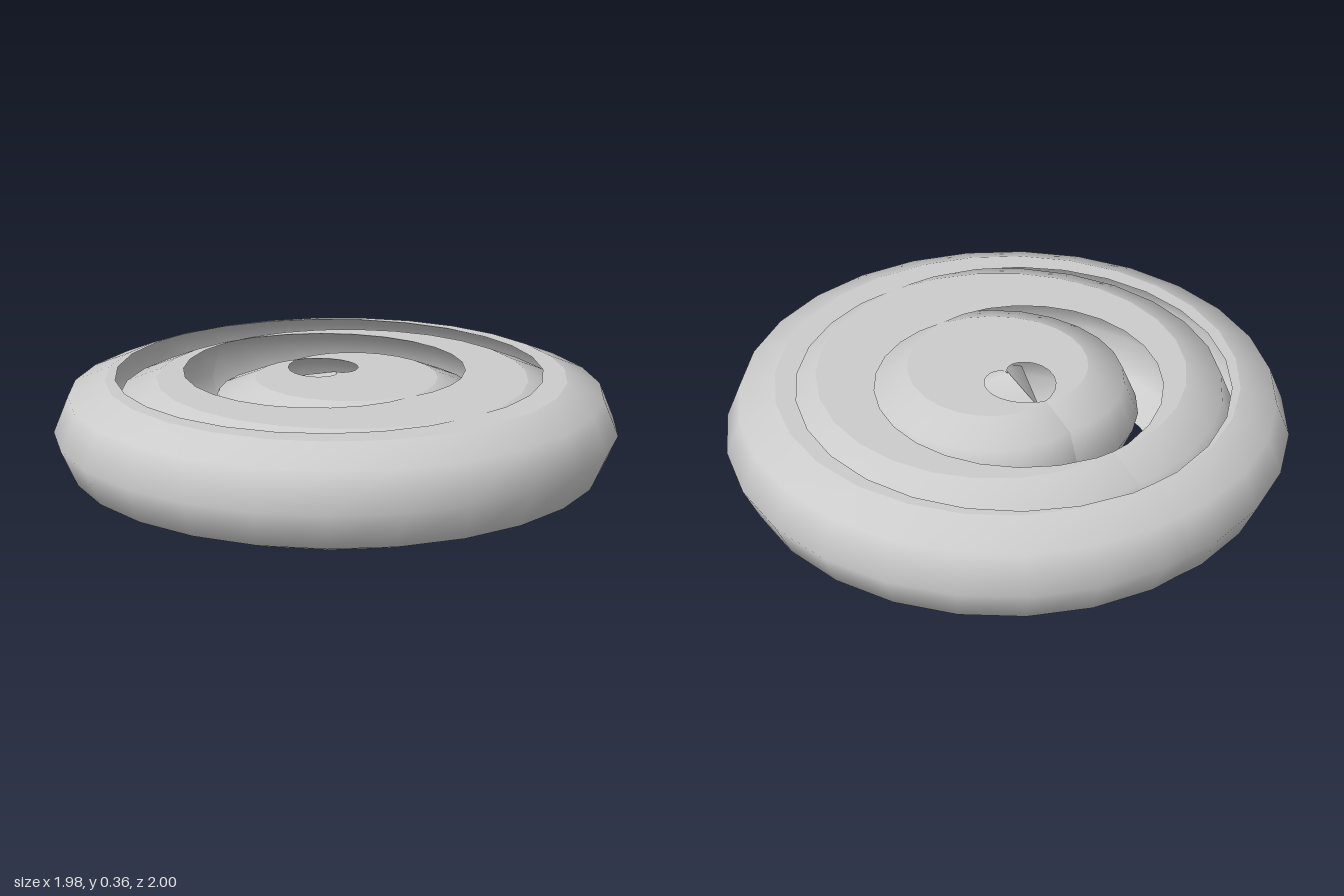
import * as THREE from 'three';

const STEPS = 162;          // 27 steps per turn, six turns in all
const STEP = Math.PI * 2 / 27;
const REACH = 0.825;        // widest radius of the spiral's rim
const BULGE = 0.183;        // how far the wall swells beyond the rim
const HALF = 0.18;          // half of the thickness
const SHIFT = -0.012;       // centres the body on x

const radius = (a) => REACH * Math.cos(a / 12);

function gridGeometry(rows) {
  const n = rows[0].length;
  const index = [];
  for (let i = 0; i < rows.length - 1; i++) {
    for (let j = 0; j < n - 1; j++) {
      const a = i * n + j, b = a + n;
      index.push(a, a + 1, b, b, a + 1, b + 1);
    }
  }
  const g = new THREE.BufferGeometry();
  g.setAttribute('position', new THREE.Float32BufferAttribute(rows.flat(2), 3));
  g.setIndex(index);
  g.computeVertexNormals();
  return g;
}

// Rounded wall: a half octagon swept along the double spiral
function wallGeometry() {
  const rows = [];
  for (let i = 0; i <= STEPS; i++) {
    const a = (i - STEPS / 2) * STEP;
    const r = radius(a), dr = -REACH / 12 * Math.sin(a / 12);
    const c = Math.cos(a), s = Math.sin(a);
    let nx = dr * s + r * c, nz = -(dr * c - r * s);
    const len = Math.hypot(nx, nz);
    nx /= len;
    nz /= len;
    // both ends meet in a mitred tip at the centre
    if (i === 0 || i === STEPS) { nx = -Math.SQRT2; nz = 0; }
    const row = [];
    for (let k = -2; k <= 2; k++) {
      const v = k * Math.PI / 4, out = BULGE * Math.cos(v);
      row.push([r * c + nx * out + SHIFT, HALF + HALF * Math.sin(v), r * s + nz * out]);
    }
    rows.push(row);
  }
  return gridGeometry(rows);
}

// Flat crescent between two neighbouring turns of the spiral
function crescentGeometry(turn, y) {
  const rows = [];
  for (let i = -14; i <= 14; i++) {
    const a = THREE.MathUtils.clamp(i * STEP, -Math.PI, Math.PI);
    const outer = radius(turn * 2 * Math.PI + Math.abs(a));
    const inner = radius((turn + 1) * 2 * Math.PI - Math.abs(a));
    const pair = [outer, inner].map((r) => [r * Math.cos(a) + SHIFT, y, r * Math.sin(a)]);
    rows.push(y > 0 ? pair.reverse() : pair);
  }
  return gridGeometry(rows);
}

export function createModel() {
  const group = new THREE.Group();
  group.name = 'spiralDisc';
  const material = new THREE.MeshStandardMaterial({ color: 0xcccccc, side: THREE.DoubleSide });
  const add = (name, geometry) => {
    const mesh = new THREE.Mesh(geometry, material);
    mesh.name = name;
    group.add(mesh);
  };

  add('spiralWall', wallGeometry());
  for (let turn = 0; turn < 3; turn++) {
    add('topCrescent' + (turn + 1), crescentGeometry(turn, 2 * HALF));
    add('bottomCrescent' + (turn + 1), crescentGeometry(turn, 0));
  }
  return group;
}
